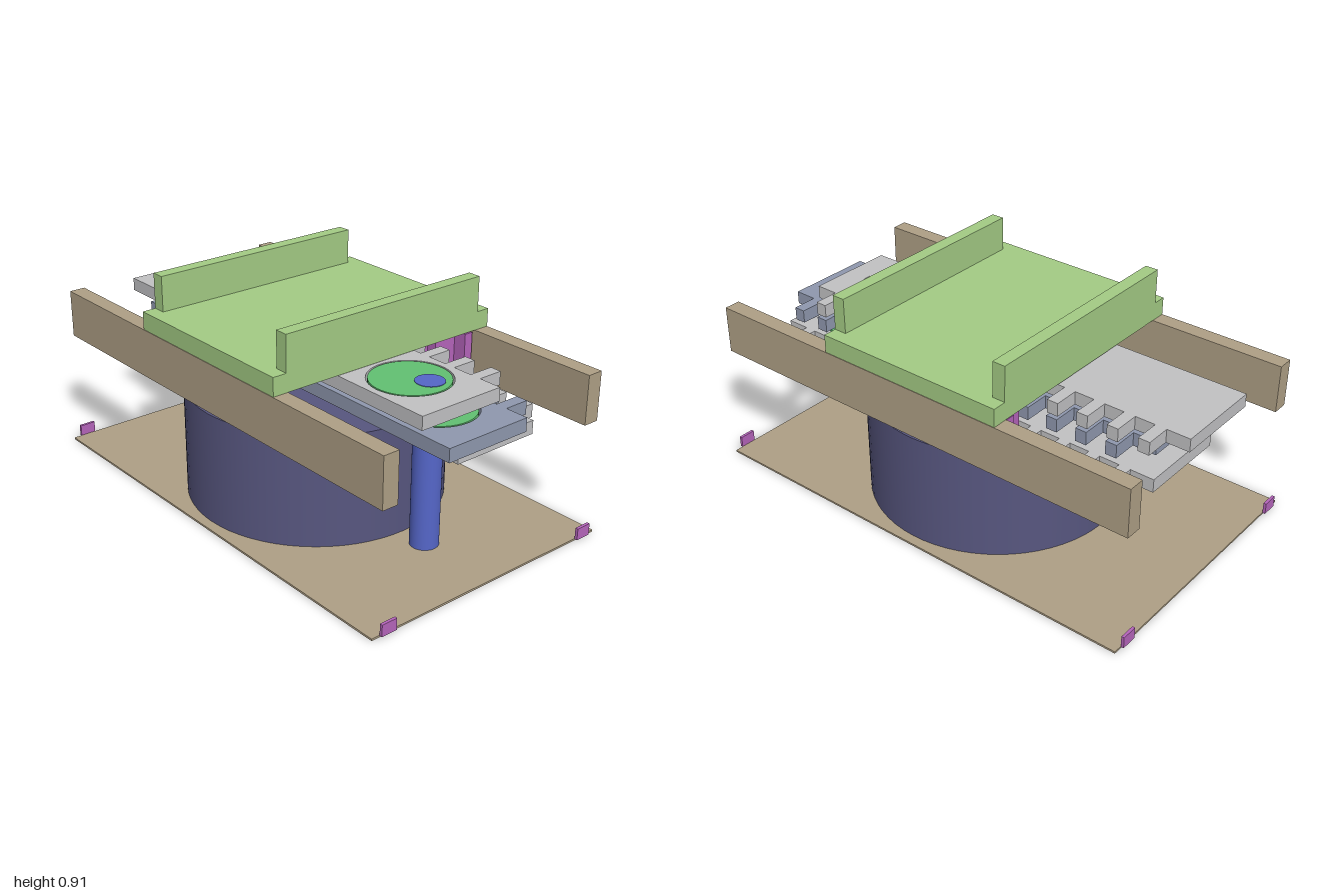
import * as THREE from 'three';

const mat = (name, color) => {
  const m = new THREE.MeshStandardMaterial({ color });
  m.name = name;
  return m;
};

export function createModel() {
  const root = new THREE.Group();
  const tan = mat('tan', 0xae9f85);
  const leaf = mat('leaf green', 0xa3cb84);
  const navy = mat('navy', 0x57567f);
  const blue = mat('blue', 0x5566c8);
  const grey = mat('light grey', 0xc1c1c3);
  const slate = mat('slate', 0x8f98ae);
  const emerald = mat('emerald', 0x62c072);
  const magenta = mat('magenta', 0xb564bb);

  const add = (name, geometry, material, parent = root) => {
    const mesh = new THREE.Mesh(geometry, material);
    mesh.name = name;
    parent.add(mesh);
    return mesh;
  };
  // box given by its limits on each axis
  const box = (name, material, [x0, x1], [y0, y1], [z0, z1], parent) =>
    add(name, new THREE.BoxGeometry(x1 - x0, y1 - y0, z1 - z0), material, parent)
      .position.set((x0 + x1) / 2, (y0 + y1) / 2, (z0 + z1) / 2);
  // upright cylinder between two heights
  const post = (name, material, r, x, z, y0, y1, parent) =>
    add(name, new THREE.CylinderGeometry(r, r, y1 - y0, 64), material, parent)
      .position.set(x, (y0 + y1) / 2, z);

  // base sheet, corner tabs and the two long rails
  box('baseSheet', tan, [-0.988, 0.988], [0, 0.008], [-0.57, 0.57]);
  for (const s of [-1, 1]) {
    const z = [s * 0.5 - 0.034, s * 0.5 + 0.034];
    box('rail', tan, [-0.988, 0.988], [0.486, 0.687], z);
    box('cornerTab', magenta, [-1, -0.988], [0.006, 0.054], z);
    box('cornerTab', magenta, [0.988, 1], [0.006, 0.054], z);
  }

  // drum with its spindle, and the crank pin
  post('drum', navy, 0.529, 0, 0, 0.008, 0.473);
  post('spindle', navy, 0.056, 0, 0, 0.473, 0.685);
  post('crankPin', blue, 0.057, 0.645, 0, 0.008, 0.682);

  // bridge plate with two raised ridges
  box('bridgePlate', leaf, [-0.415, 0.415], [0.688, 0.763], [-0.533, 0.533]);
  box('bridgeRidge', leaf, [-0.415, -0.36], [0.763, 0.909], [-0.475, 0.475]);
  box('bridgeRidge', leaf, [0.36, 0.415], [0.763, 0.909], [-0.475, 0.475]);

  // toothed sliding plates, each with a round hole holding a disc
  const pitch = 0.1315, tooth = 0.024, thick = 0.055;
  const outline = new THREE.Shape();
  outline.moveTo(-0.911, -0.19);
  outline.lineTo(0.911, -0.19);
  outline.lineTo(0.911, 0.19);
  for (let k = 6; k >= -6; k--) {
    const x = k * pitch;
    outline.lineTo(x + tooth, 0.19);
    outline.lineTo(x + tooth, 0.296);
    outline.lineTo(x - tooth, 0.296);
    outline.lineTo(x - tooth, 0.19);
  }
  outline.lineTo(-0.911, 0.19);
  const hole = new THREE.Path();
  hole.absarc(0.647, 0, 0.162, 0, Math.PI * 2, true);
  outline.holes.push(hole);
  const plateGeo = new THREE.ExtrudeGeometry(outline, { depth: thick, bevelEnabled: false, curveSegments: 48 });
  plateGeo.rotateX(-Math.PI / 2);

  const plates = [
    ['lowerSlide', grey, 0, 0.486, -0.076],
    ['middleSlide', slate, 0.067, 0.555, 0.037],
    ['upperSlide', grey, -0.067, 0.625, 0.037],
  ];
  for (const [name, material, x, y, z] of plates) {
    const slide = new THREE.Group();
    slide.name = name;
    slide.position.set(x, y, z);
    add('toothedPlate', plateGeo, material, slide);
    post('disc', emerald, 0.155, 0.647, 0, 0, thick, slide);
    root.add(slide);
  }

  // locking comb whose fingers sit between the plate teeth
  const comb = new THREE.Group();
  comb.name = 'lockingComb';
  box('combBar', magenta, [-0.41, 0.41], [0.486, 0.68], [-0.456, -0.417], comb);
  for (let k = -3; k < 3; k++) {
    const x = (k + 0.5) * pitch;
    box('combFinger', magenta, [x - tooth, x + tooth], [0.486, 0.68], [-0.417, -0.314], comb);
  }
  root.add(comb);

  return root;
}
